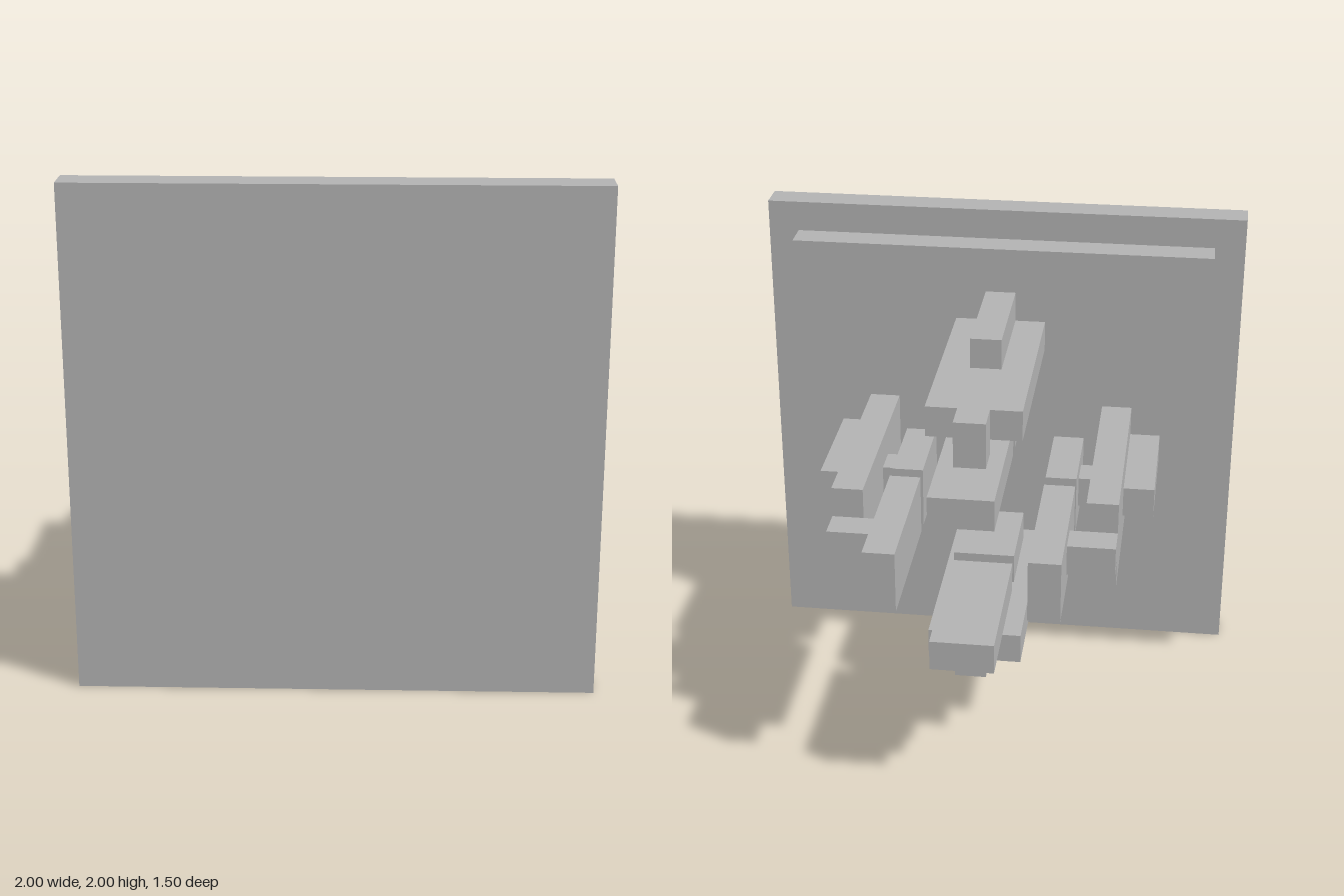
import * as THREE from 'three';

const grey = new THREE.MeshStandardMaterial({ color: 0xb2b2b2 });
grey.name = 'grey';

// Box given by its minimum and maximum corners
function box(name, [x0, y0, z0], [x1, y1, z1]) {
  const geometry = new THREE.BoxGeometry(x1 - x0, y1 - y0, z1 - z0);
  geometry.translate((x0 + x1) / 2, (y0 + y1) / 2, (z0 + z1) / 2);
  const mesh = new THREE.Mesh(geometry, grey);
  mesh.name = name;
  return mesh;
}

// One clamp arm, measured outward (+y) from the central axis
function createArm() {
  const arm = new THREE.Group();
  arm.add(
    box('armBeam', [-0.1875, 0.4375, -0.375], [0.1875, 0.5625, 0.5]),
    box('outerRib', [-0.0625, 0.5625, 0], [0.0625, 0.6875, 0.5]),
    box('tipBracket', [-0.0625, 0.375, -0.5], [0.0625, 0.5625, -0.375]),
    box('rearFinger', [-0.125, 0.25, -0.75], [0.125, 0.375, -0.125]),
    box('padPin', [-0.0625, 0.375, 0.0625], [0.0625, 0.4375, 0.1875]),
    box('innerPad', [-0.125, 0.25, -0.0625], [0.125, 0.375, 0.3125])
  );
  return arm;
}

export function createModel() {
  const model = new THREE.Group();
  model.name = 'plateWithArms';

  // Stepped square plate
  model.add(
    box('frontPlate', [-1, 0, 0.625], [1, 2, 0.75]),
    box('backingPlate', [-0.875, 0.125, 0.5], [0.875, 1.875, 0.625])
  );

  // Four arms around the centre of the plate
  ['topArm', 'leftArm', 'bottomArm', 'rightArm'].forEach((name, i) => {
    const arm = createArm();
    arm.name = name;
    arm.position.y = 1;
    arm.rotation.z = -i * Math.PI / 2;
    model.add(arm);
  });

  return model;
}
